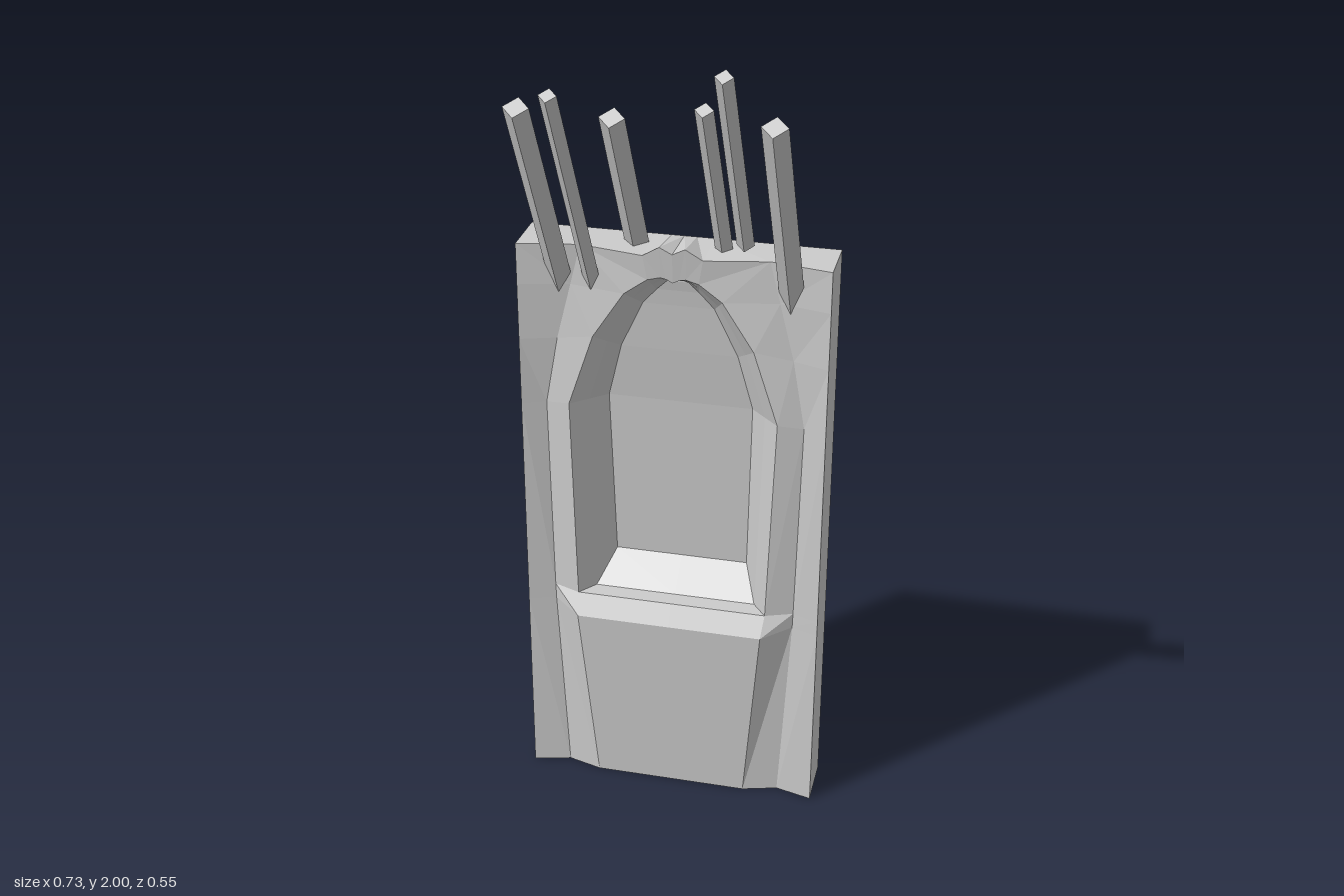
import * as THREE from 'three';

const material = new THREE.MeshStandardMaterial({ color: 0xcccccc, flatShading: true });
const BACK = -0.2, TOP = 1.46;

// Collects quads for the +x half and mirrors each one to -x
function halfBuilder() {
  const pos = [];
  const tri = (a, b, c) => {
    pos.push(...a, ...b, ...c);
    for (const p of [a, c, b]) pos.push(-p[0], p[1], p[2]);
  };
  return {
    pos,
    // strip between two rows of points, a on the right and b on the left going up
    loft(a, b) {
      for (let i = 0; i < Math.min(a.length, b.length) - 1; i++) {
        tri(b[i], a[i], a[i + 1]);
        tri(b[i], a[i + 1], b[i + 1]);
      }
    },
  };
}

function makeSlab() {
  // contours from the floor up to the arch peak: border, valley, opening rim, niche back
  const border = [0, 0.5, 0.54, 1.05, 1.22, 1.36, TOP].map((y) => [0.365, y, -0.067]);
  const valley = [
    [0.275, 0, -0.09], [0.3, 0.5, -0.09], [0.301, 0.54, -0.09], [0.31, 1.05, -0.093],
    [0.28, 1.22, -0.095], [0.245, 1.36, -0.095], [0.22, TOP, -0.095],
    [0.07, 1.455, -0.076], [0.03, 1.48, -0.072], [0, 1.465, -0.072],
  ];
  const rim = [
    [0.19, 0, -0.066], [0.23, 0.49, -0.035], [0.235, 0.54, -0.065], [0.25, 1.06, -0.075],
    [0.19, 1.24, -0.078], [0.115, 1.355, -0.08], [0.06, 1.395, -0.08],
    [0.03, 1.403, -0.08], [0.015, 1.4, -0.08], [0, 1.392, -0.08],
  ];
  const niche = [
    [0.165, 0.61, -0.185], [0.175, 1.05, -0.165], [0.14, 1.19, -0.15], [0.085, 1.31, -0.14],
    [0.05, 1.35, -0.135], [0.025, 1.375, -0.13], [0.012, 1.385, -0.13], [0, 1.39, -0.13],
  ];
  const jamb = niche.map((p, i) => (i === 0 ? [0.2, 0.54, -0.11]
    : p.map((v, k) => (v + rim[i + 2][k]) / 2)));

  const { pos, loft } = halfBuilder();
  const at = (row, fn) => row.map(fn);

  // relief on the front
  loft(border, valley);
  loft(valley, rim);
  loft(rim.slice(2), jamb);
  loft(jamb, niche);
  const middle = [rim[0], rim[1], rim[2], jamb[0], ...niche];
  loft(middle, at(middle, (p) => [0, p[1], p[2]]));

  // top, underside, flank and back
  const topRow = [border[6], ...valley.slice(6)];
  loft(at(topRow, (p) => [p[0], TOP, BACK]), topRow);
  const lowRow = [border[0], valley[0], rim[0], [0, 0, -0.066]];
  loft(lowRow, at(lowRow, (p) => [p[0], 0, BACK]));
  loft(at(border, (p) => [p[0], p[1], BACK]), border);
  loft([[0, 0, BACK], [0, TOP, BACK]], [[0.365, 0, BACK], [0.365, TOP, BACK]]);

  const geo = new THREE.BufferGeometry();
  geo.setAttribute('position', new THREE.Float32BufferAttribute(pos, 3));
  geo.computeVertexNormals();
  const mesh = new THREE.Mesh(geo, material);
  mesh.name = 'nicheSlab';
  return mesh;
}

// Square rod set corner-forward, hanging down from its top centre
function makeRod(name, x, y, z, diagonal, length, tilt) {
  const side = diagonal / Math.SQRT2;
  const geo = new THREE.BoxGeometry(side, length, side);
  geo.rotateY(Math.PI / 4);
  geo.translate(0, -length / 2, 0);
  const rod = new THREE.Mesh(geo, material);
  rod.position.set(x, y, z);
  rod.rotation.x = tilt;
  rod.name = name;
  return rod;
}

export function createModel() {
  const model = new THREE.Group();
  model.name = 'nichePanel';
  model.add(makeSlab());

  // rods leaning forward over the top: x, top y, top z, diagonal, length
  const leaning = [
    [-0.272, 1.87, 0.183, 0.058, 0.6],
    [-0.195, 1.91, 0.21, 0.04, 0.64],
    [-0.101, 1.82, 0.058, 0.058, 0.615],
    [0.103, 1.86, 0.082, 0.042, 0.652],
    [0.179, 1.99, 0.255, 0.04, 0.53],
    [0.27, 1.87, 0.183, 0.058, 0.6],
  ];
  for (const r of leaning) model.add(makeRod('leaningRod', ...r, Math.PI / 6));

  // upright rods behind the slab
  model.add(makeRod('rearRodRight', -0.101, 1.235, -0.235, 0.058, 1.085, 0));
  model.add(makeRod('rearRodLeft', 0.103, 1.3, -0.235, 0.042, 1.15, 0));
  return model;
}
